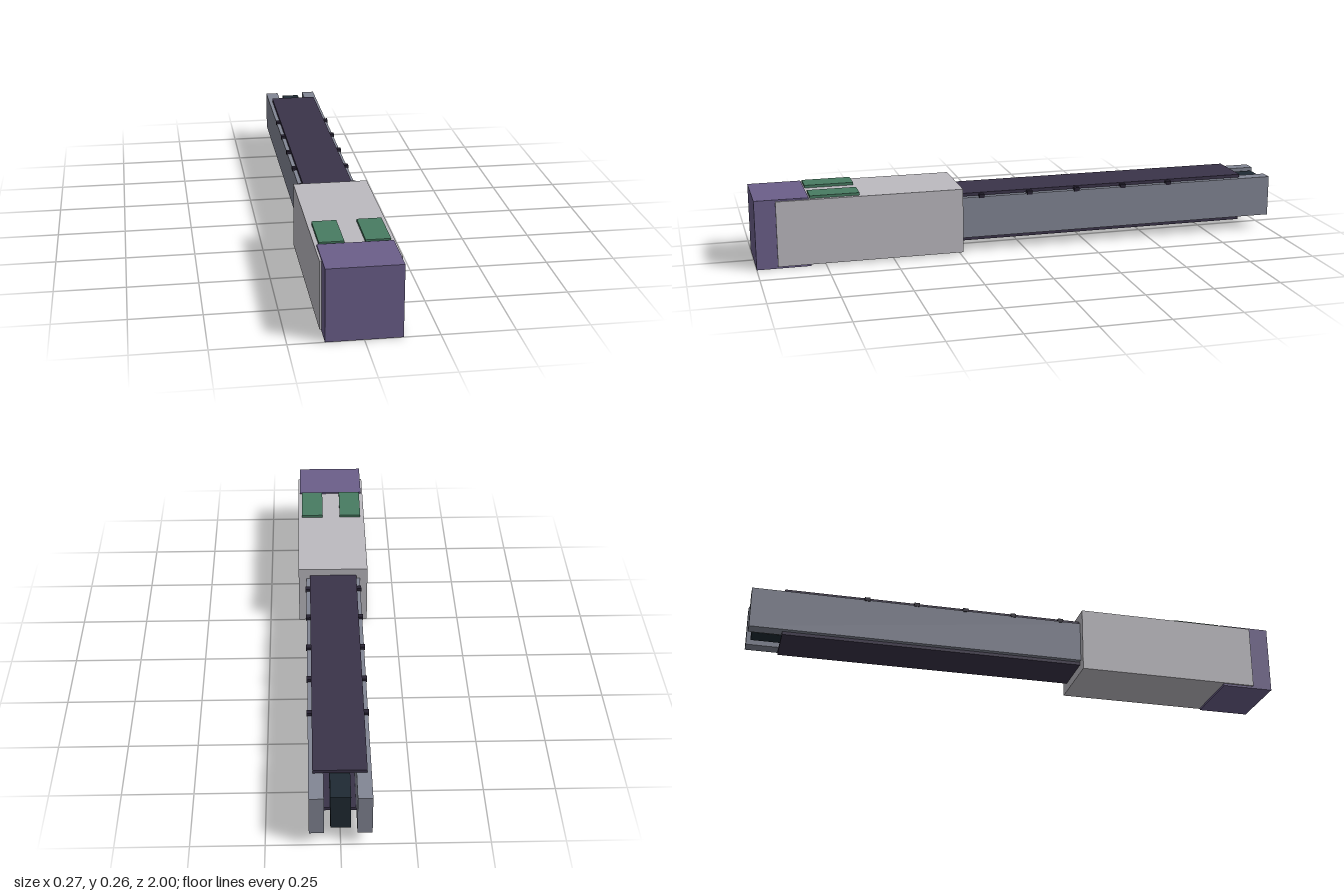
import * as THREE from 'three';

const paint = (name, color) => {
  const m = new THREE.MeshStandardMaterial({ color });
  m.name = name;
  return m;
};

export function createModel() {
  const purple = paint('purple', 0x6b5f8a);
  const lightGrey = paint('light grey', 0xbcbac0);
  const green = paint('green', 0x487c62);
  const darkPurple = paint('dark purple', 0x3a3349);
  const steel = paint('steel', 0x828694);
  const nearBlack = paint('blue black', 0x1f2a33);
  const tabDark = paint('tab dark', 0x272232);

  const model = new THREE.Group();
  model.name = 'telescopicArm';

  // Box given by its extents on each axis
  const box = (name, material, [x0, x1], [y0, y1], [z0, z1]) => {
    const mesh = new THREE.Mesh(new THREE.BoxGeometry(x1 - x0, y1 - y0, z1 - z0), material);
    mesh.position.set((x0 + x1) / 2, (y0 + y1) / 2, (z0 + z1) / 2);
    mesh.name = name;
    model.add(mesh);
  };
  // Same box on both sides of x = 0
  const pair = (name, material, [x0, x1], y, z) => {
    box(name + 'Left', material, [x0, x1], y, z);
    box(name + 'Right', material, [-x1, -x0], y, z);
  };

  // Housing and end cap
  box('endCap', purple, [-0.128, 0.128], [0, 0.256], [0.805, 1]);
  box('sleeve', lightGrey, [-0.135, 0.135], [0.008, 0.25], [0.24, 0.924]);
  pair('topPad', green, [0.035, 0.12], [0.248, 0.26], [0.62, 0.8]);

  // Sliding arm: side rails, inner core, cover plates
  pair('rail', steel, [0.055, 0.105], [0.054, 0.208], [-1, 0.26]);
  box('core', nearBlack, [-0.034, 0.034], [0.063, 0.2], [-0.985, 0.26]);
  box('topPlate', darkPurple, [-0.091, 0.091], [0.21, 0.222], [-0.88, 0.26]);
  box('bottomPlate', darkPurple, [-0.091, 0.091], [0.04, 0.052], [-0.88, 0.26]);

  // Clips along the top edges of the rails
  for (let i = 0; i < 5; i++) {
    const z = 0.162 - i * 0.185;
    pair('clip' + (i + 1), tabDark, [0.086, 0.108], [0.204, 0.218], [z - 0.01, z + 0.01]);
  }
  return model;
}
